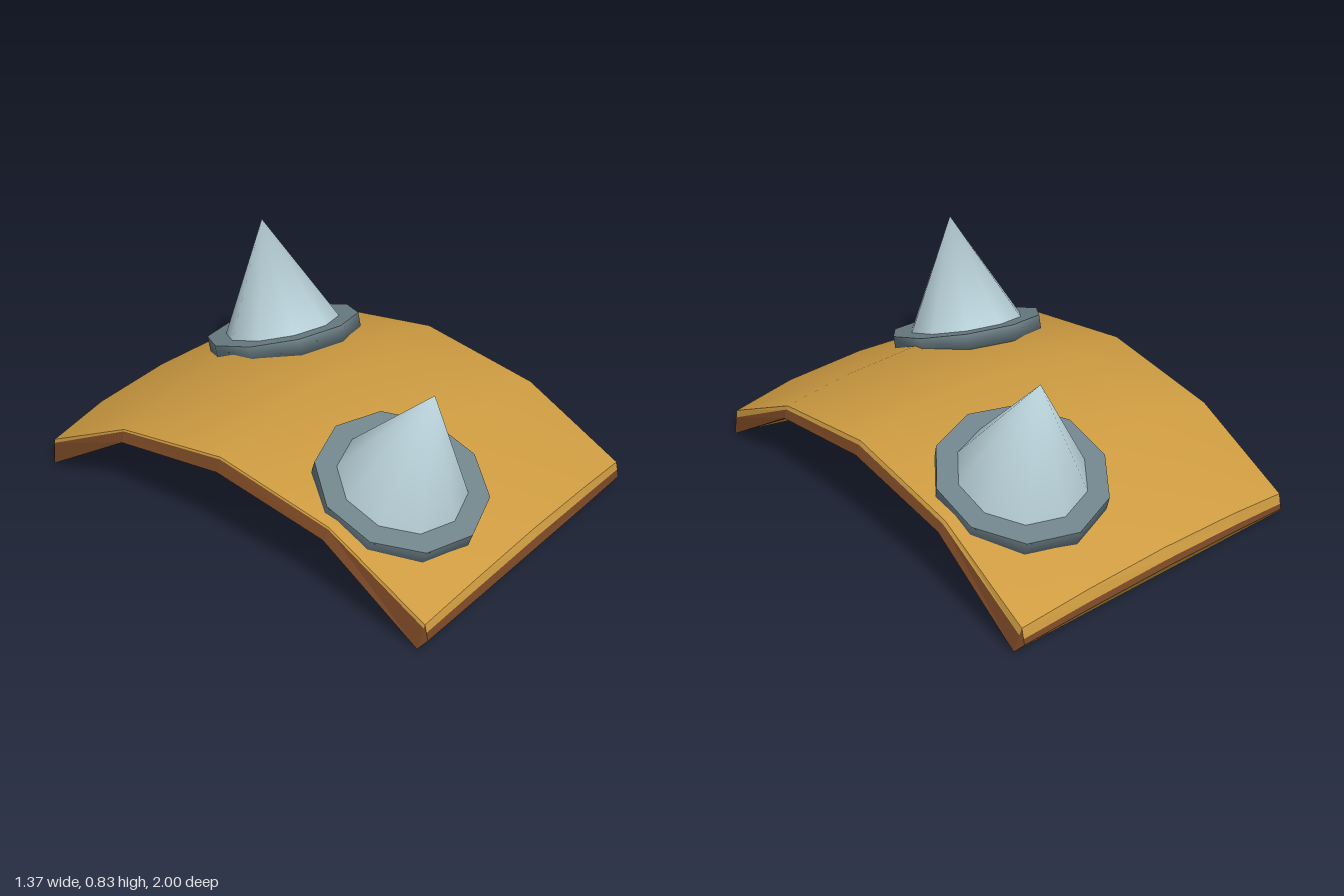
import * as THREE from 'three';
import { mergeVertices } from 'three/addons/utils/BufferGeometryUtils.js';

const V = (x, y, z) => new THREE.Vector3(x, y, z);
const mat = (name, color) => {
  const m = new THREE.MeshStandardMaterial({ color });
  m.name = name;
  return m;
};

// Mirrored point function: s runs across, t runs front to back (-2..2)
const mirrored = fn => (s, t) => {
  const [x, y, z] = fn(Math.abs(s), Math.abs(t));
  return V(Math.sign(s) * x, y, Math.sign(t) * z);
};

// Crowned top of the plate
const topPoint = mirrored((a, b) => [
  [0, 0.37, 0.66][a],
  [0.46, 0.375, 0.155][b] - [0, 0.015, 0.055][a],
  [0, 0.52, 0.975][b] - (b === 2 ? [0, 0.005, 0.025][a] : 0),
]);

// Outermost line of the front and back ends
const endPoint = mirrored(a => [[0, 0.37, 0.66][a], [0.085, 0.07, 0.035][a], [1.0, 0.99, 0.965][a]]);

// Bellied underside, thin along the sides; the outer column is the side edge
const lowPoint = mirrored((a, b) => [
  [0, 0.37, 0.685][a],
  [[0.265, 0.29, 0.35], [0.185, 0.21, 0.275], [0, 0, 0]][b][a],
  [0, 0.51, 0.937][b],
]);
const insetPoint = (s, t) => (Math.abs(s) < 2
  ? lowPoint(s, t)
  : lowPoint(s, t).lerp(lowPoint(s / 2, t), 0.1));

// Smooth sheet through a point function
function sheet(fn, flip) {
  const pts = [], index = [];
  for (let t = -2; t <= 2; t++) for (let s = -2; s <= 2; s++) pts.push(fn(s, t));
  for (let j = 0; j < 4; j++) for (let i = 0; i < 4; i++) {
    const a = j * 5 + i, b = a + 5, c = b + 1, d = a + 1;
    index.push(...(flip ? [a, c, b, a, d, c] : [a, b, c, a, c, d]));
  }
  const g = new THREE.BufferGeometry().setFromPoints(pts);
  g.setIndex(index);
  g.computeVertexNormals();
  return g;
}

function flatFaces(pts) {
  const g = new THREE.BufferGeometry().setFromPoints(pts);
  g.computeVertexNormals();
  return g;
}

// Flat-faced strip between two lines along one side: 0 front, 1 left, 2 back, 3 right
function strip(upper, lower, side) {
  const at = (fn, n) => fn(...[[n, 2], [2, -n], [-n, -2], [-2, n]][side]);
  const pts = [];
  for (let n = -2; n < 2; n++) {
    const u0 = at(upper, n), l0 = at(lower, n), l1 = at(lower, n + 1), u1 = at(upper, n + 1);
    pts.push(u0, l0, l1, u0, l1, u1);
  }
  return flatFaces(pts);
}

export function createModel() {
  const gold = mat('tanned leather', 0xcd9b41);
  const brown = mat('dark leather edge', 0x784724);
  const steel = mat('pale steel', 0xb6ced6);
  const iron = mat('grey iron', 0x6f838a);
  const model = new THREE.Group();
  model.name = 'spikedPlate';
  const add = (parent, name, geometry, material) => {
    const mesh = new THREE.Mesh(geometry, material);
    mesh.name = name;
    parent.add(mesh);
  };

  // Arched plate
  const plate = new THREE.Group();
  plate.name = 'archedPlate';
  model.add(plate);
  add(plate, 'plateTop', sheet(topPoint, false), gold);
  add(plate, 'plateUnderside', sheet(insetPoint, true), gold);

  // Rim: worn gold upper band and brown edge, with a bevel below the ends
  ['front', 'left', 'back', 'right'].forEach((name, side) => {
    const isEnd = side % 2 === 0;
    const edge = isEnd ? endPoint : lowPoint;
    const worn = [0.5, 0.3, 0.65, 0.15][side];
    const wornLine = (s, t) => topPoint(s, t).lerp(edge(s, t), worn);
    add(plate, name + 'WornBand', strip(topPoint, wornLine, side), gold);
    add(plate, name + 'Edge', strip(wornLine, edge, side), brown);
    if (isEnd) add(plate, name + 'Bevel', strip(edge, lowPoint, side), side === 0 ? brown : gold);
    else add(plate, name + 'UnderEdge', strip(edge, insetPoint, side), brown);
  });

  // Small chamfers closing the four corners
  const corners = [];
  for (const s of [-2, 2]) for (const t of [-2, 2]) {
    const tri = [topPoint(s, t), endPoint(s, t), lowPoint(s, t)];
    corners.push(...(s * t > 0 ? tri : tri.reverse()));
  }
  add(plate, 'cornerChamfers', flatFaces(corners), brown);

  // Ten-sided collar: flat top, side rounding softly into the base
  const radius = 0.334, height = 0.078;
  const collarTop = new THREE.CircleGeometry(radius, 10, Math.PI / 2).rotateX(-Math.PI / 2);
  const collarSide = new THREE.LatheGeometry(
    [[0, -height], [radius, -height], [radius, 0]].map(p => new THREE.Vector2(...p)), 10);

  // Ten-sided spike with fully smoothed normals
  const cone = new THREE.ConeGeometry(0.25, 0.468, 10, 1, true).translate(0, 0.234, 0);
  cone.deleteAttribute('uv');
  cone.deleteAttribute('normal');
  const spike = mergeVertices(cone);
  spike.computeVertexNormals();

  // Two spikes leaning with the plate
  const spikes = [
    ['frontSpike', V(-0.30, 0.362, 0.577), V(-0.09, 1, 0.355)],
    ['backSpike', V(0.302, 0.383, -0.523), V(0.09, 1, -0.315)],
  ];
  for (const [name, position, axis] of spikes) {
    const group = new THREE.Group();
    group.name = name;
    group.position.copy(position);
    group.quaternion.setFromUnitVectors(V(0, 1, 0), axis.normalize());
    add(group, 'collarTop', collarTop, iron);
    add(group, 'collarSide', collarSide, iron);
    add(group, 'spike', spike, steel);
    model.add(group);
  }
  return model;
}
